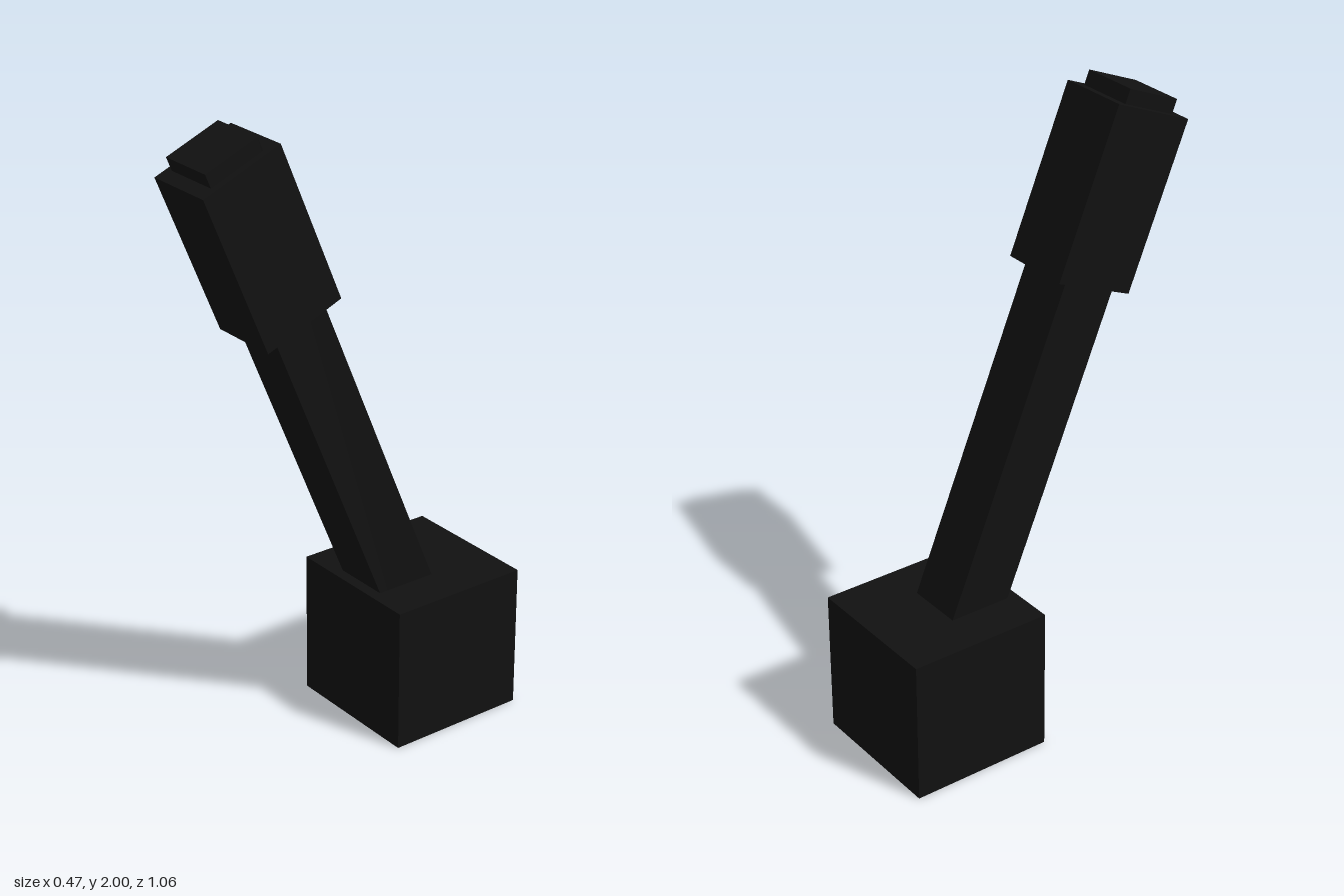
import * as THREE from 'three';

export function createModel() {
  const model = new THREE.Group();
  model.name = 'lever';
  const black = new THREE.MeshStandardMaterial({ color: 0x111111 });
  black.name = 'black';

  const addBox = (parent, name, [w, h, d], y) => {
    const mesh = new THREE.Mesh(new THREE.BoxGeometry(w, h, d), black);
    mesh.name = name;
    mesh.position.y = y;
    parent.add(mesh);
    return mesh;
  };

  // Cube base at the back
  const base = addBox(model, 'base', [0.468, 0.468, 0.468], 0.234);
  base.position.z = -0.298;

  // Tilted lever pivoting at the centre of the base
  const lever = new THREE.Group();
  lever.name = 'leverArm';
  lever.position.set(0, 0.234, -0.298);
  lever.rotation.x = Math.PI / 8;
  model.add(lever);

  // Shaft, and the grip wrapped around its upper end
  addBox(lever, 'shaft', [0.187, 1.874, 0.187], 0.937);
  addBox(lever, 'grip', [0.234, 0.537, 0.277], 1.56);

  return model;
}
